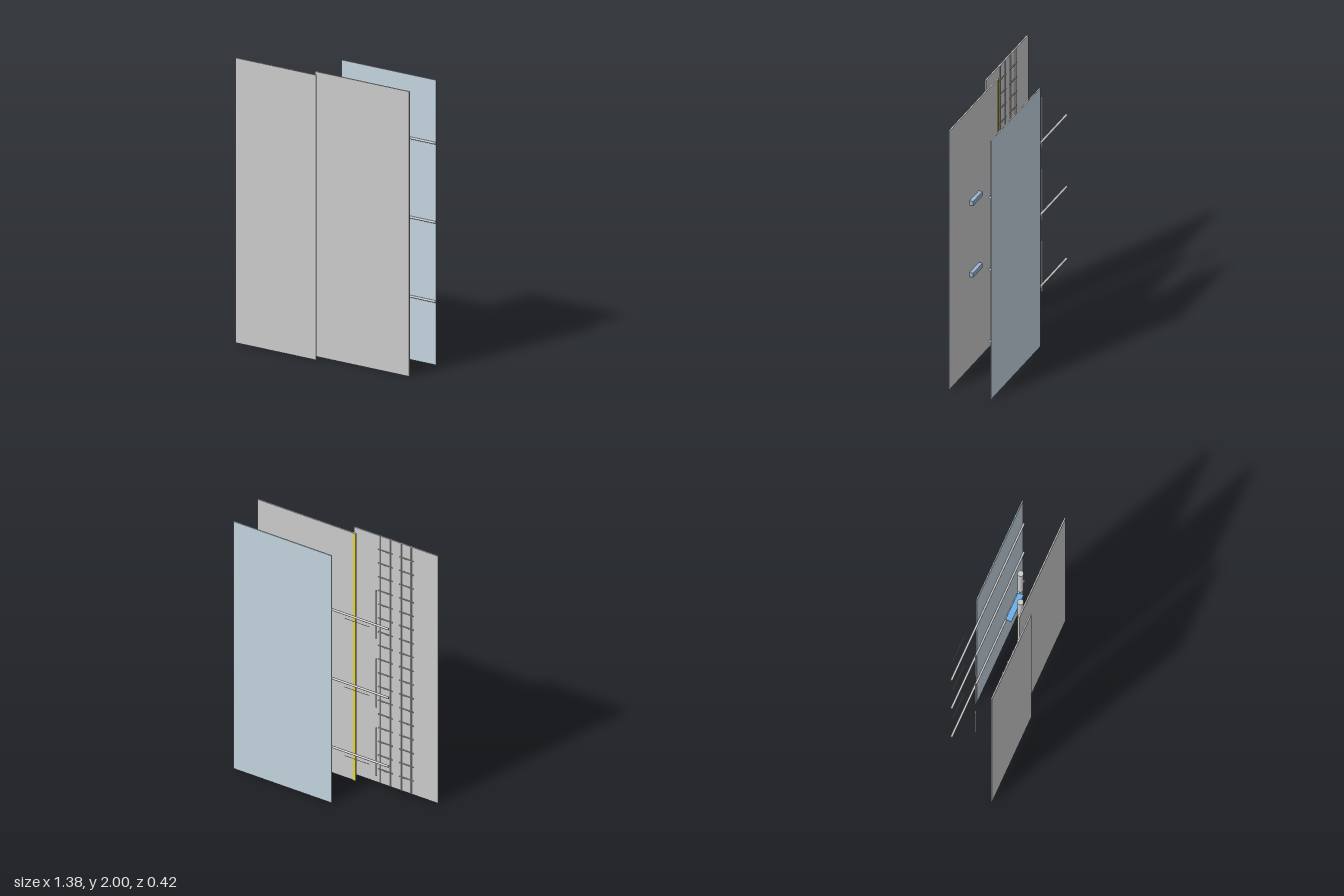
import * as THREE from 'three';

const mat = (color) => new THREE.MeshStandardMaterial({ color });

export function createModel() {
  const group = new THREE.Group();
  const grey = mat(0xcccccc);
  const paleBlue = mat(0xc4d4e0);
  const blue = mat(0x6aaeea);
  const slate = mat(0x9ab2cc);
  const yellow = mat(0xe6d638);
  const brown = mat(0xb09c88);

  const add = (name, geometry, material, x, y, z) => {
    const mesh = new THREE.Mesh(geometry, material);
    mesh.name = name;
    mesh.position.set(x, y, z);
    group.add(mesh);
    return mesh;
  };
  // Box given by its limits on each axis
  const box = (name, material, [x0, x1], [y0, y1], [z0, z1]) =>
    add(name, new THREE.BoxGeometry(x1 - x0, y1 - y0, z1 - z0), material,
      (x0 + x1) / 2, (y0 + y1) / 2, (z0 + z1) / 2);
  // Upright and sideways round rods
  const post = (name, material, r, x, [y0, y1], z) =>
    add(name, new THREE.CylinderGeometry(r, r, y1 - y0, 24), material, x, (y0 + y1) / 2, z);
  const bar = (name, material, r, [x0, x1], y, z) => {
    const mesh = add(name, new THREE.CylinderGeometry(r, r, x1 - x0, 16), material, (x0 + x1) / 2, y, z);
    mesh.rotation.z = Math.PI / 2;
    return mesh;
  };

  // Three tall sliding panels
  box('fixedFrontPanel', grey, [-0.69, -0.03], [0, 2], [0.195, 0.205]);
  box('slidingFrontPanel', grey, [-0.083, 0.69], [0, 2], [0.131, 0.141]);
  box('backPanel', paleBlue, [-0.083, 0.69], [0, 2], [-0.177, -0.169]);

  // Yellow sealing strip along the inner edge of the sliding panel
  box('edgeStrip', yellow, [-0.083, -0.063], [0, 2], [0.127, 0.131]);

  // Two full-height ladders behind the fixed panel
  for (const cx of [-0.443, -0.277]) {
    for (const side of [-1, 1]) {
      post('ladderRail', grey, 0.004, cx + side * 0.04, [0, 2], 0.192);
    }
    for (let i = 1; i < 18; i++) {
      bar('ladderRung', brown, 0.004, [cx - 0.055, cx + 0.055], i / 9, 0.193);
    }
  }

  // Repeated hardware at three heights
  for (const y of [0.446, 1.002, 1.558]) {
    bar('crossBar', grey, 0.008, [-0.526, 0.69], y, -0.164);
    bar('thinPullRod', grey, 0.002, [-0.402, -0.208], y, -0.209);
    post('guideRod', grey, 0.006, -0.362, [y - 0.194, y + 0.194], -0.058);
    post('roller', grey, 0.021, 0.303, [y - 0.156, y + 0.156], -0.02);
  }

  // Blue shelf and two brackets on the sliding panel
  box('shelfPlate', blue, [0.2, 0.408], [0.999, 1.005], [-0.085, -0.043]);
  for (const y of [0.725, 1.28]) {
    box('bracket', slate, [0.228, 0.378], [y - 0.017, y + 0.017], [0.103, 0.131]);
  }
  return group;
}
